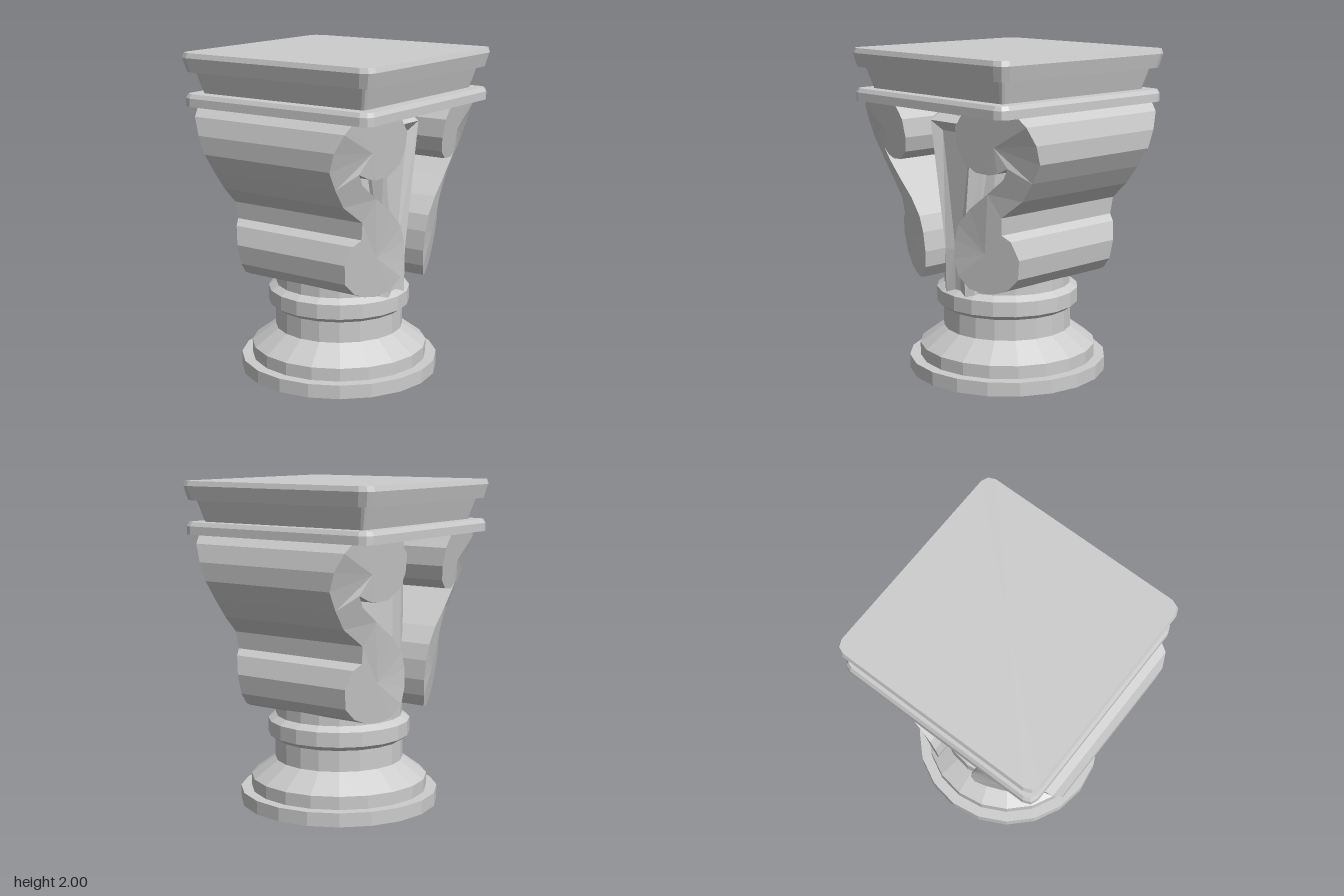
import * as THREE from 'three';

const stone = new THREE.MeshStandardMaterial({ color: 0xcccccc });
stone.name = 'grey stone';

// Faceted mesh: every triangle keeps its own normal
function facet(geometry, name) {
  const g = geometry.index ? geometry.toNonIndexed() : geometry;
  g.computeVertexNormals();
  const mesh = new THREE.Mesh(g, stone);
  mesh.name = name;
  return mesh;
}

function fromTriangles(tris) {
  const g = new THREE.BufferGeometry();
  g.setAttribute('position', new THREE.Float32BufferAttribute(tris.flat(2), 3));
  return g;
}

const quad = (a, b, c, d) => [[a, b, c], [a, c, d]];

// Turned part from [radius, y] pairs, bottom to top
function turned(profile, name) {
  const pts = profile.map(([r, y]) => new THREE.Vector2(r, y));
  return facet(new THREE.LatheGeometry(pts, 20), name);
}

// Square block with softened corners from [halfWidth, y, cornerRadius], bottom to top
function squareBlock(profile, name) {
  const rings = profile.map(([h, y, r]) => {
    const ring = [];
    for (let k = 0; k < 4; k++) {
      const mid = (k + 0.5) * Math.PI / 2;
      for (let t = 0; t < 3; t++) {
        const a = (k + t / 2) * Math.PI / 2;
        ring.push([
          Math.sign(Math.cos(mid)) * (h - r) + r * Math.cos(a), y,
          Math.sign(Math.sin(mid)) * (h - r) + r * Math.sin(a),
        ]);
      }
    }
    return ring;
  });
  const n = 12, tris = [], last = rings.length - 1;
  for (let i = 0; i < n; i++) {
    const k = (i + 1) % n;
    for (let j = 0; j < last; j++) {
      tris.push(...quad(rings[j][i], rings[j + 1][i], rings[j + 1][k], rings[j][k]));
    }
    tris.push([[0, profile[0][1], 0], rings[0][i], rings[0][k]]);
    tris.push([[0, profile[last][1], 0], rings[last][k], rings[last][i]]);
  }
  return facet(fromTriangles(tris), name);
}

// S-shaped scroll running front to back, its ends sloping back outwards
function scroll(name) {
  // clockwise seen from the front
  const outline = [
    [0.30, 1.69], [0.66, 1.69], [0.715, 1.635], [0.743, 1.53], [0.735, 1.42],
    [0.664, 1.305], [0.58, 1.19], [0.442, 1.08], [0.432, 0.975], [0.48, 0.94],
    [0.515, 0.83], [0.495, 0.71], [0.43, 0.64], [0.36, 0.61], [0.29, 0.60],
    [0.20, 0.622], [0.14, 0.70], [0.124, 0.80], [0.135, 0.92], [0.167, 1.015],
    [0.255, 1.115], [0.39, 1.22], [0.505, 1.315], [0.548, 1.385], [0.48, 1.35],
    [0.42, 1.335], [0.33, 1.343], [0.25, 1.40], [0.22, 1.49], [0.23, 1.60],
  ];
  const n = outline.length, tris = [];
  const endPoint = (side) => ([x, y]) => {
    const slope = 0.494 + 0.16 * y + 0.2 * Math.max(0, y - 1.15) - 0.44 * x;
    return [x, y, side * (slope - 0.54 * Math.max(0, slope - 0.54))];
  };
  const front = outline.map(endPoint(1)), back = outline.map(endPoint(-1));
  for (let i = 0; i < n; i++) {
    const k = (i + 1) % n;
    tris.push(...quad(front[i], front[k], back[k], back[i]));
  }
  const cap = (a, b, c) => {
    tris.push([front[c], front[b], front[a]], [back[a], back[b], back[c]]);
  };
  // each volute is a fan about its own centre
  const fan = (centre, start, count) => {
    const f = endPoint(1)(centre), b = endPoint(-1)(centre);
    for (let i = 0; i < count; i++) {
      const p = (start + i) % n;
      const q = i === count - 1 ? start : (p + 1) % n;
      tris.push([f, front[q], front[p]], [b, back[p], back[q]]);
    }
  };
  fan([0.48, 1.5], 23, 13);
  fan([0.32, 0.85], 7, 15);
  // arm between the volutes
  [[5, 6, 22], [5, 22, 23], [6, 7, 21], [6, 21, 22]].forEach((t) => cap(...t));
  return facet(fromTriangles(tris), name);
}

// Tapering frame with a low ridge around a recessed panel
function frontLeaf() {
  // left half [x, y, z] bottom to top, mirrored to the right
  const loop = (half) => [...half.map(([x, y, z]) => [-x, y, z]), ...[...half].reverse()];
  const outer = loop([[0.135, 0.55, 0.395], [0.122, 0.81, 0.39], [0.235, 1.625, 0.35]]);
  const ridge = loop([[0.087, 0.535, 0.428], [0.082, 0.81, 0.435], [0.185, 1.585, 0.455]]);
  const inner = loop([[0.025, 0.56, 0.41], [0.02, 0.81, 0.41], [0.125, 1.525, 0.41]]);
  const crown = [[-0.175, 1.645, 0.36], [0.175, 1.645, 0.36]];
  const tris = [];
  for (let i = 0; i < 5; i++) {
    if (i !== 2) tris.push(...quad(outer[i], ridge[i], ridge[i + 1], outer[i + 1]));
    tris.push(...quad(ridge[i], inner[i], inner[i + 1], ridge[i + 1]));
  }
  // sloping top of the frame
  tris.push(...quad(ridge[2], ridge[3], crown[1], crown[0]));
  tris.push([outer[2], ridge[2], crown[0]], [ridge[3], outer[3], crown[1]]);
  tris.push(...quad(crown[0], crown[1], [0.175, 1.645, 0.25], [-0.175, 1.645, 0.25]));
  // panel and rib feet
  tris.push(...quad(inner[0], inner[5], inner[4], inner[1]));
  tris.push(...quad(inner[1], inner[4], inner[3], inner[2]));
  tris.push([outer[0], inner[0], ridge[0]], [outer[5], ridge[5], inner[5]]);
  // sides running back into the shaft
  for (const i of [0, 1, 3, 4]) {
    const a = outer[i], b = outer[i + 1];
    tris.push(...quad(a, b, [b[0], b[1], 0.25], [a[0], a[1], 0.25]));
  }
  return facet(fromTriangles(tris), 'frontLeaf');
}

export function createModel() {
  const model = new THREE.Group();
  model.name = 'columnCapital';

  // round foot, collar and shaft
  model.add(turned([
    [0, 0], [0.617, 0], [0.617, 0.085], [0.55, 0.085], [0.55, 0.165],
    [0.4, 0.275], [0.4, 0.405], [0.442, 0.435], [0.442, 0.525], [0.395, 0.555],
  ], 'base'));
  model.add(turned([[0.395, 0.55], [0.395, 1.69]], 'shaft'));

  // side scrolls, set slightly off centre
  const left = scroll('leftScroll');
  left.position.z = -0.012;
  const right = scroll('rightScroll');
  right.rotation.y = Math.PI;
  right.position.z = 0.006;
  model.add(left, right);

  model.add(frontLeaf());

  // square top slab with a waisted neck
  model.add(squareBlock([
    [0.672, 1.68, 0.06], [0.672, 1.73, 0.06], [0.658, 1.755, 0.05], [0.582, 1.755, 0.02],
    [0.618, 1.885, 0.025], [0.664, 1.885, 0.06], [0.685, 1.97, 0.065], [0.676, 2, 0.06],
  ], 'topSlab'));

  return model;
}
